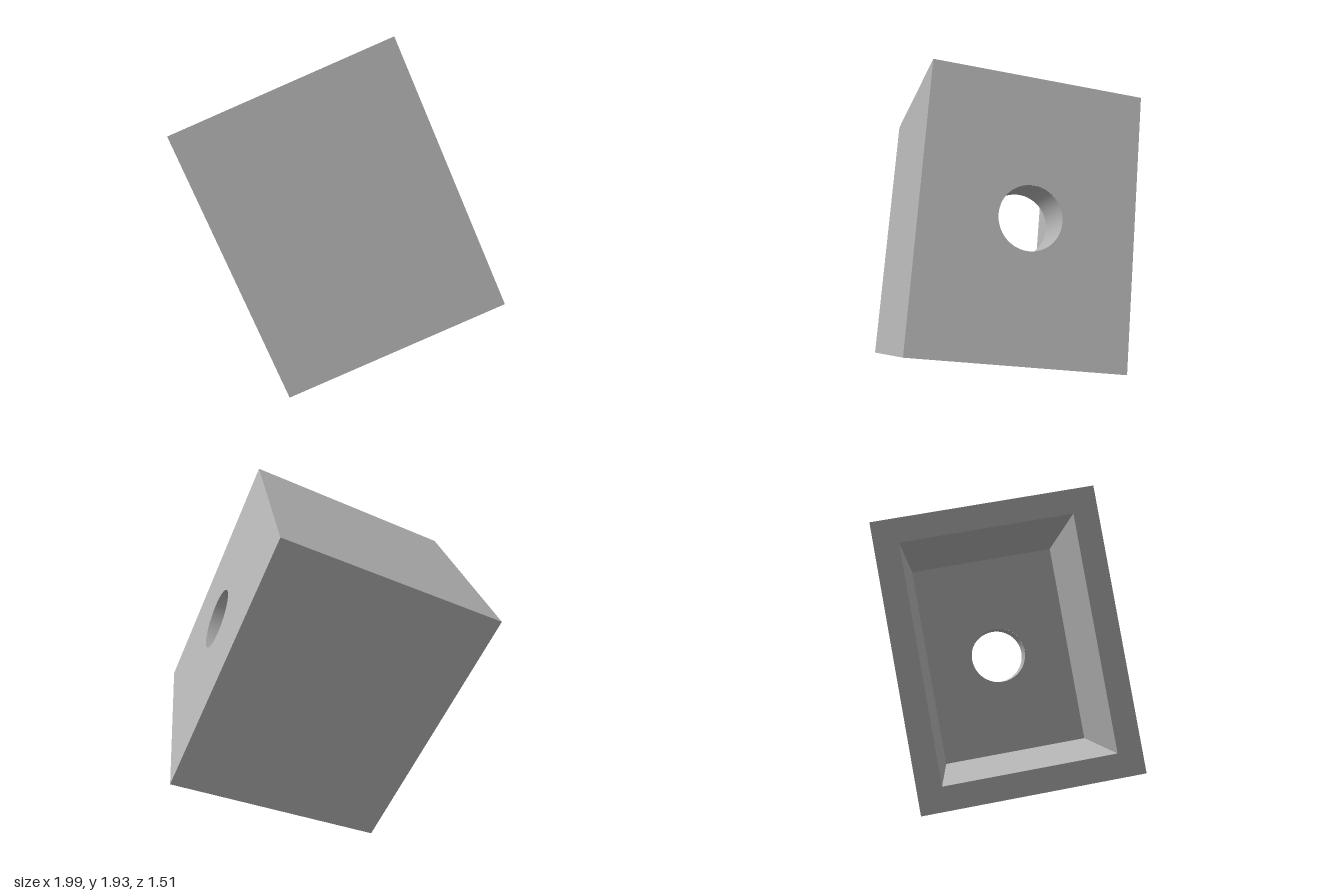
import * as THREE from 'three';

// Block size, cavity opening, floor thickness and bore radius
const W = 1.094, H = 1.414, D = 1.167;
const CW = 0.852, CH = 1.176, FLOOR = 0.24, R = 0.162;

// Turn a surface inside out
function flip(geo) {
  geo.setIndex(Array.from(geo.index.array).reverse());
  const n = geo.attributes.normal;
  for (let i = 0; i < n.count; i++) n.setXYZ(i, -n.getX(i), -n.getY(i), -n.getZ(i));
  return geo;
}

// The four sides of a box, without its z ends
function walls(w, h, d) {
  const geo = new THREE.BoxGeometry(w, h, d);
  geo.setIndex(Array.from(geo.index.array).slice(0, 24));
  geo.clearGroups();
  return geo;
}

function rectPoints(w, h) {
  return [[-1, -1], [1, -1], [1, 1], [-1, 1]].map(([x, y]) => new THREE.Vector2(x * w / 2, y * h / 2));
}

// Flat rectangle with a hole cut through it
function plate(w, h, hole) {
  const shape = new THREE.Shape(rectPoints(w, h));
  shape.holes.push(hole);
  return new THREE.ShapeGeometry(shape, 64);
}

export function createModel() {
  const grey = new THREE.MeshStandardMaterial({ color: 0xb3b3b3 });
  grey.name = 'grey';

  const block = new THREE.Group();
  block.name = 'hollowBlock';
  const add = (name, geo, z) => {
    const mesh = new THREE.Mesh(geo, grey);
    mesh.name = name;
    mesh.position.z = z;
    block.add(mesh);
  };

  const circle = new THREE.Path().absarc(0, 0, R, 0, Math.PI * 2, true);
  const opening = new THREE.Path(rectPoints(CW, CH).reverse());

  // Outer shell
  add('outerWalls', walls(W, H, D), 0);
  add('openFace', flip(plate(W, H, opening)), -D / 2);
  add('boredFace', plate(W, H, circle), D / 2);

  // Rectangular cavity and the round bore through its floor
  add('cavityWalls', flip(walls(CW, CH, D - FLOOR)), -FLOOR / 2);
  add('cavityFloor', flip(plate(CW, CH, circle)), D / 2 - FLOOR);
  const bore = new THREE.CylinderGeometry(R, R, FLOOR, 64, 1, true).rotateX(Math.PI / 2);
  add('bore', flip(bore), (D - FLOOR) / 2);

  // Tilt the block so that it rests on one corner
  const ez = new THREE.Vector3(0.94, 0.45, -0.525).normalize();
  const ex = new THREE.Vector3(-0.6, 1.28, 0.01).cross(ez).normalize();
  const ey = ez.clone().cross(ex);
  block.quaternion.setFromRotationMatrix(new THREE.Matrix4().makeBasis(ex, ey, ez));
  block.position.y = 0.97;

  const model = new THREE.Group();
  model.name = 'model';
  model.add(block);
  return model;
}
